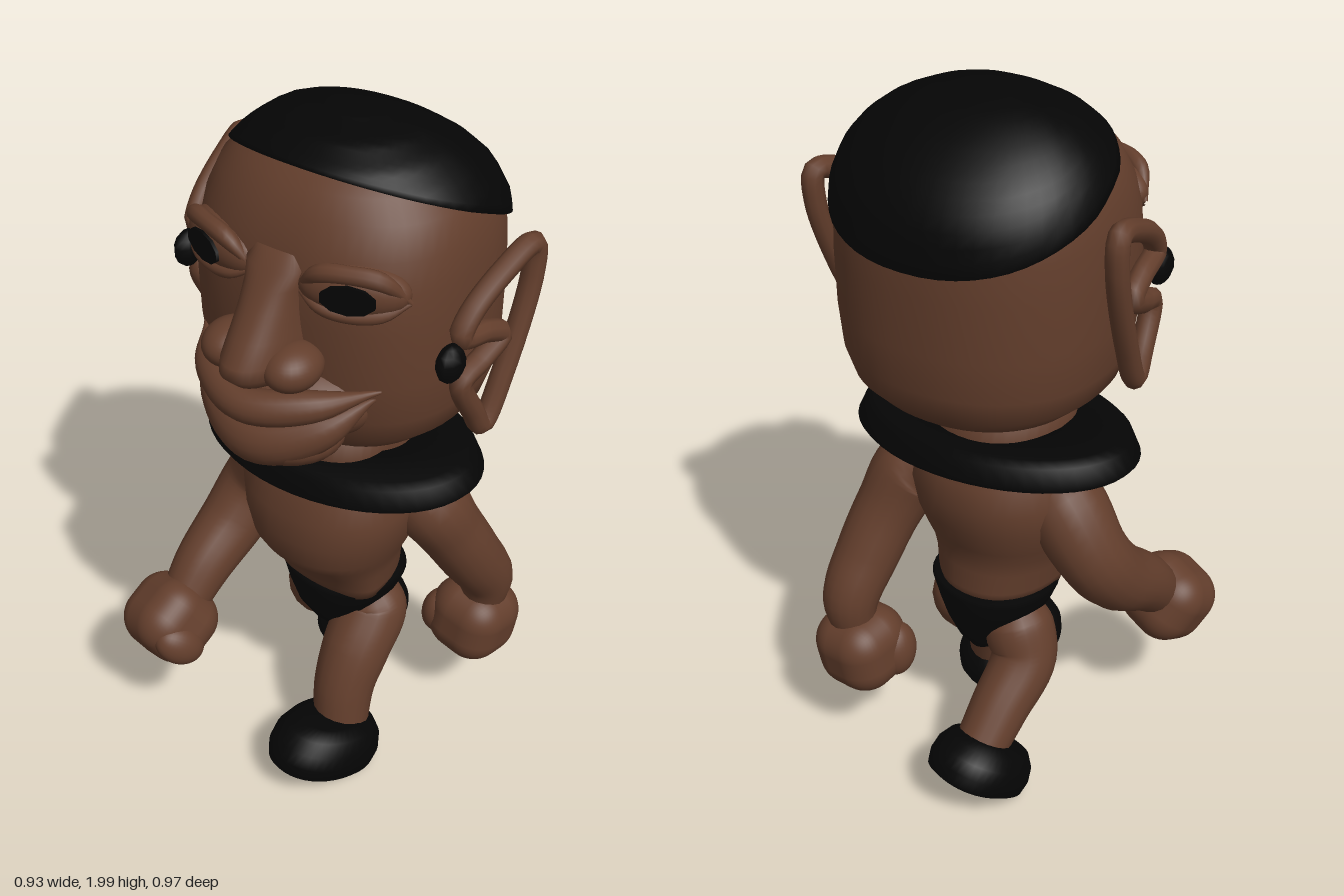
import * as THREE from 'three';
import { mergeVertices } from 'three/addons/utils/BufferGeometryUtils.js';
import { RoundedBoxGeometry } from 'three/addons/geometries/RoundedBoxGeometry.js';

const brown = new THREE.MeshStandardMaterial({ color: 0x633e2c });
brown.name = 'brown skin';
const black = new THREE.MeshStandardMaterial({ color: 0x050505 });
black.name = 'black cloth';

function add(parent, name, geometry, material, pos = [0, 0, 0], rot = [0, 0, 0], scale = [1, 1, 1]) {
  const mesh = new THREE.Mesh(geometry, material);
  mesh.name = name;
  mesh.position.set(...pos);
  mesh.rotation.set(...rot);
  mesh.scale.set(...scale);
  parent.add(mesh);
  return mesh;
}

function group(parent, name) {
  const g = new THREE.Group();
  g.name = name;
  parent.add(g);
  return g;
}

// Welds the seam and poles so that normals run smoothly across them
function smooth(geometry) {
  geometry.deleteAttribute('uv');
  geometry.deleteAttribute('normal');
  const g = mergeVertices(geometry, 1e-5);
  g.computeVertexNormals();
  return g;
}

// Surface from a point function: a runs around the y axis, v runs upwards
function surface(point, cols, rows) {
  const pos = [], index = [];
  for (let j = 0; j <= rows; j++) {
    for (let i = 0; i <= cols; i++) pos.push(...point((i % cols) / cols * Math.PI * 2, j / rows));
  }
  for (let j = 0; j < rows; j++) {
    for (let i = 0; i < cols; i++) {
      const a = j * (cols + 1) + i, b = a + cols + 1;
      index.push(a, b, a + 1, b, b + 1, a + 1);
    }
  }
  const g = new THREE.BufferGeometry();
  g.setAttribute('position', new THREE.Float32BufferAttribute(pos, 3));
  g.setIndex(index);
  return smooth(g);
}

// Point on a stack of sections [y, half width, front z, back z, squareness of the front]
function sectionPoint(sections, y, a) {
  let k = 0;
  while (k < sections.length - 2 && y > sections[k + 1][0]) k++;
  const s = sections[k], e = sections[k + 1];
  const t = THREE.MathUtils.clamp((y - s[0]) / (e[0] - s[0]), 0, 1);
  const [w, f, b, p] = [1, 2, 3, 4].map(n => (s[n] ?? 2.2) + ((e[n] ?? 2.2) - (s[n] ?? 2.2)) * t);
  const power = Math.sin(a) > 0 ? p : 2.2;
  const round = c => Math.sign(c) * Math.abs(c) ** (2 / power);
  const x = round(Math.cos(a)), z = round(Math.sin(a));
  return [x * w, y, z > 0 ? z * f : -z * b];
}

// Closed loft through the sections
function loft(sections, cols = 40) {
  const n = sections.length;
  return surface((a, v) => {
    const j = Math.round(v * (n + 1)) - 1;
    const y = sections[THREE.MathUtils.clamp(j, 0, n - 1)][0];
    return j < 0 || j >= n ? [0, y, 0] : sectionPoint(sections, y, a);
  }, cols, n + 1);
}

// Tube whose radius changes along points [x, y, z, radius]
function taper(points, steps = 28, sides = 18) {
  const curve = new THREE.CatmullRomCurve3(points.map(p => new THREE.Vector3(p[0], p[1], p[2])));
  const radii = new THREE.SplineCurve(points.map((p, i) => new THREE.Vector2(i, p[3])));
  curve.getUtoTmapping = u => u;
  const g = new THREE.TubeGeometry(curve, steps, 1, sides);
  const p = g.attributes.position, v = new THREE.Vector3();
  for (let i = 0; i < p.count; i++) {
    const t = Math.floor(i / (sides + 1)) / steps;
    const c = curve.getPoint(t);
    v.fromBufferAttribute(p, i).sub(c).multiplyScalar(Math.max(radii.getPoint(t).y, 0.001)).add(c);
    p.setXYZ(i, v.x, v.y, v.z);
  }
  return smooth(g);
}

const ball = new THREE.SphereGeometry(1, 28, 20);

const headSections = [
  [1.20, .20, .22, -.18, 2.4], [1.22, .28, .27, -.27, 2.5], [1.27, .335, .305, -.315, 2.5], [1.34, .358, .325, -.335, 2.6],
  [1.45, .368, .335, -.342, 2.7], [1.6, .37, .34, -.342, 2.7], [1.7, .365, .335, -.338, 2.6], [1.78, .356, .32, -.325, 2.4],
  [1.85, .33, .29, -.28, 2.25], [1.9, .288, .255, -.225, 2.2], [1.94, .233, .21, -.165, 2.2], [1.97, .162, .15, -.1, 2.2],
  [1.988, .06, .06, -.02, 2.2],
];

function buildHead(model) {
  const head = group(model, 'head');
  head.position.set(.008, 0, -.07);
  head.rotation.y = .23;
  add(head, 'skull', loft(headSections, 56), brown);

  // Cap of hair cut off by a plane that drops towards the back
  const cap = surface((a, v) => {
    let rim = 1.82;
    for (let i = 0; i < 30; i++) rim += .4 * (1.826 + .475 * sectionPoint(headSections, rim, a)[2] - rim);
    const t = Math.max(0, v * 15 - 1) / 14;
    const y = rim + (1.988 - rim) * Math.sin(t * Math.PI / 2);
    const [x, , z] = sectionPoint(headSections, y, a);
    const grow = v === 0 ? .97 : 1.04;
    return v === 1 ? [0, 2, .02] : [x * grow, y + .012 * t, z * grow];
  }, 56, 15);
  add(head, 'hairCap', cap, black);

  // Eyes with heavy lids
  for (const s of [-1, 1]) {
    const eye = group(head, s < 0 ? 'rightEye' : 'leftEye');
    eye.position.set(s * .195, 1.7, .293);
    eye.rotation.y = s * .35;
    add(eye, 'eyeball', ball, brown, [0, .005, -.02], [0, 0, 0], [.135, .07, .06]);
    const pupil = new THREE.CylinderGeometry(.068, .068, .008, 10).rotateX(Math.PI / 2);
    add(eye, 'pupil', pupil, black, [0, .006, .04], [0, 0, 0], [1, .56, 1]);
    const lid = (h, r) => taper([[-.135, -.01, -.015, .006], [-.075, h * .8, .015, r], [0, h, .025, r],
      [.075, h * .8, .015, r], [.135, -.01, -.015, .006]], 20, 10);
    add(eye, 'upperLid', lid(.064, .022), brown);
    add(eye, 'lowerLid', lid(-.046, .016), brown);
  }

  // Broad nose
  add(head, 'noseBridge', loft([[1.455, .04, .09, -.05], [1.468, .075, .165, -.05], [1.5, .092, .197, -.05], [1.53, .092, .19, -.05],
    [1.58, .085, .155, -.05], [1.64, .078, .113, -.05], [1.69, .076, .08, -.05], [1.73, .082, .052, -.05], [1.765, .06, .02, -.05]]), brown, [0, 0, .31]);
  for (const s of [-1, 1]) add(head, 'nostril', ball, brown, [s * .09, 1.51, .38], [0, 0, 0], [.07, .058, .083]);

  // Mouth running down into the chin
  add(head, 'muzzle', ball, brown, [0, 1.375, .255], [0, 0, 0], [.24, .125, .18]);
  add(head, 'chin', ball, brown, [0, 1.29, .33], [0, 0, 0], [.185, .085, .142]);
  add(head, 'upperLip', taper([[-.265, 1.445, .27, .005], [-.15, 1.425, .392, .04], [0, 1.41, .458, .045],
    [.15, 1.425, .392, .04], [.265, 1.445, .27, .005]]), brown);
  add(head, 'lowerLip', taper([[-.255, 1.425, .27, .005], [-.15, 1.34, .358, .055], [0, 1.293, .405, .076],
    [.15, 1.34, .358, .055], [.255, 1.425, .27, .005]]), brown);

  // Open looped ears with a dark plug, as [z, y]
  const loop = [[-.11, 1.745], [-.115, 1.66], [-.03, 1.42], [.04, 1.3], [.08, 1.36], [.13, 1.47], [.06, 1.5],
    [-.01, 1.54], [.05, 1.575], [.14, 1.6], [.11, 1.65], [0, 1.715]];
  const earCurve = new THREE.CatmullRomCurve3(loop.map(([z, y]) => new THREE.Vector3(.416 - .14 * z, y, z)), true);
  const earGeometry = new THREE.TubeGeometry(earCurve, 80, .029, 10, true);
  for (const s of [-1, 1]) {
    const ear = group(head, s < 0 ? 'rightEar' : 'leftEar');
    ear.scale.x = s;
    ear.position.y = s * -.02;
    add(ear, 'earLoop', earGeometry, brown);
    add(ear, 'earPlug', new THREE.SphereGeometry(1, 10, 7), black, [.393, 1.545, .175], [0, 0, 0], [.032, .05, .047]);
  }
}

function buildBody(model) {
  add(model, 'torso', loft([
    [.585, .165, .08, -.205], [.62, .176, .09, -.21], [.68, .185, .13, -.205], [.73, .2, .175, -.21], [.77, .218, .198, -.225],
    [.84, .24, .207, -.25], [.92, .25, .205, -.265], [.99, .225, .18, -.255], [1.04, .195, .16, -.23], [1.1, .185, .155, -.22], [1.22, .19, .17, -.21],
  ]), brown, [-.005, 0, 0], [0, .15, 0]);
  add(model, 'briefs', loft([
    [.37, .045, .06, -.09], [.42, .085, .1, -.125], [.48, .125, .135, -.148], [.54, .158, .15, -.16], [.59, .18, .158, -.168], [.6, .172, .15, -.16],
  ]), black, [-.017, 0, -.06]);

  // Wide neck ring, turned with the shoulders
  const ring = [[.2, 1.03], [.387, 1.025], [.4, 1.04], [.377, 1.09], [.355, 1.108], [.2, 1.112], [.2, 1.03]]
    .map(([r, y]) => new THREE.Vector2(r, y - 1.065));
  const collar = group(model, 'neckRing');
  collar.position.set(0, 1.066, -.04);
  collar.rotation.set(.03, 0, -.015);
  add(collar, 'collar', new THREE.LatheGeometry(ring, 48), black, [0, 0, 0], [0, .31, 0], [1, 1, .66]);

  // Right arm swings forward, left arm swings back
  add(model, 'rightArm', taper([[-.1, .95, 0, .06], [-.2, .895, .0, .11], [-.295, .76, .02, .102], [-.31, .65, .1, .097],
    [-.3, .55, .23, .085], [-.285, .45, .33, .07]]), brown);
  add(model, 'leftArm', taper([[.1, .94, -.13, .06], [.195, .89, -.16, .105], [.235, .77, -.225, .095], [.25, .64, -.3, .09],
    [.25, .52, -.37, .08], [.24, .4, -.37, .06]]), brown);
  const hand = (name, pos, rot, s) => {
    const g = group(model, name);
    g.position.set(...pos);
    g.rotation.set(...rot);
    add(g, 'fist', new RoundedBoxGeometry(.235, .235, .23, 6, .09), brown);
    add(g, 'thumb', ball, brown, [s * .085, -.02, .05], [.3, 0, 0], [.05, .08, .06]);
  };
  hand('rightHand', [-.292, .42, .364], [.5, .1, .3], 1);
  hand('leftHand', [.225, .355, -.36], [-.12, .1, -.1], -1);

  // Striding legs
  add(model, 'leftLeg', taper([[.065, .53, -.08, .07], [.085, .47, -.08, .1], [.108, .37, 0, .098], [.12, .27, .055, .088], [.135, .14, .085, .08]]), brown);
  add(model, 'rightLeg', taper([[-.09, .53, -.07, .07], [-.115, .47, -.075, .098], [-.155, .38, -.09, .092], [-.17, .27, -.2, .082], [-.185, .15, -.32, .072]]), brown);

  // Rounded shoes
  const shoe = loft([[0, .105, .16, -.14], [.012, .125, .18, -.165], [.05, .132, .186, -.172], [.09, .125, .178, -.165],
    [.125, .105, .15, -.14], [.142, .07, .1, -.1]]);
  add(model, 'leftShoe', shoe, black, [.148, .062, .168], [-.32, .03, 0]);
  add(model, 'rightShoe', shoe, black, [-.188, .088, -.325], [.58, -.03, 0], [.98, .95, .88]);
}

export function createModel() {
  const model = new THREE.Group();
  model.name = 'walkingFigure';
  buildHead(model);
  buildBody(model);
  return model;
}
